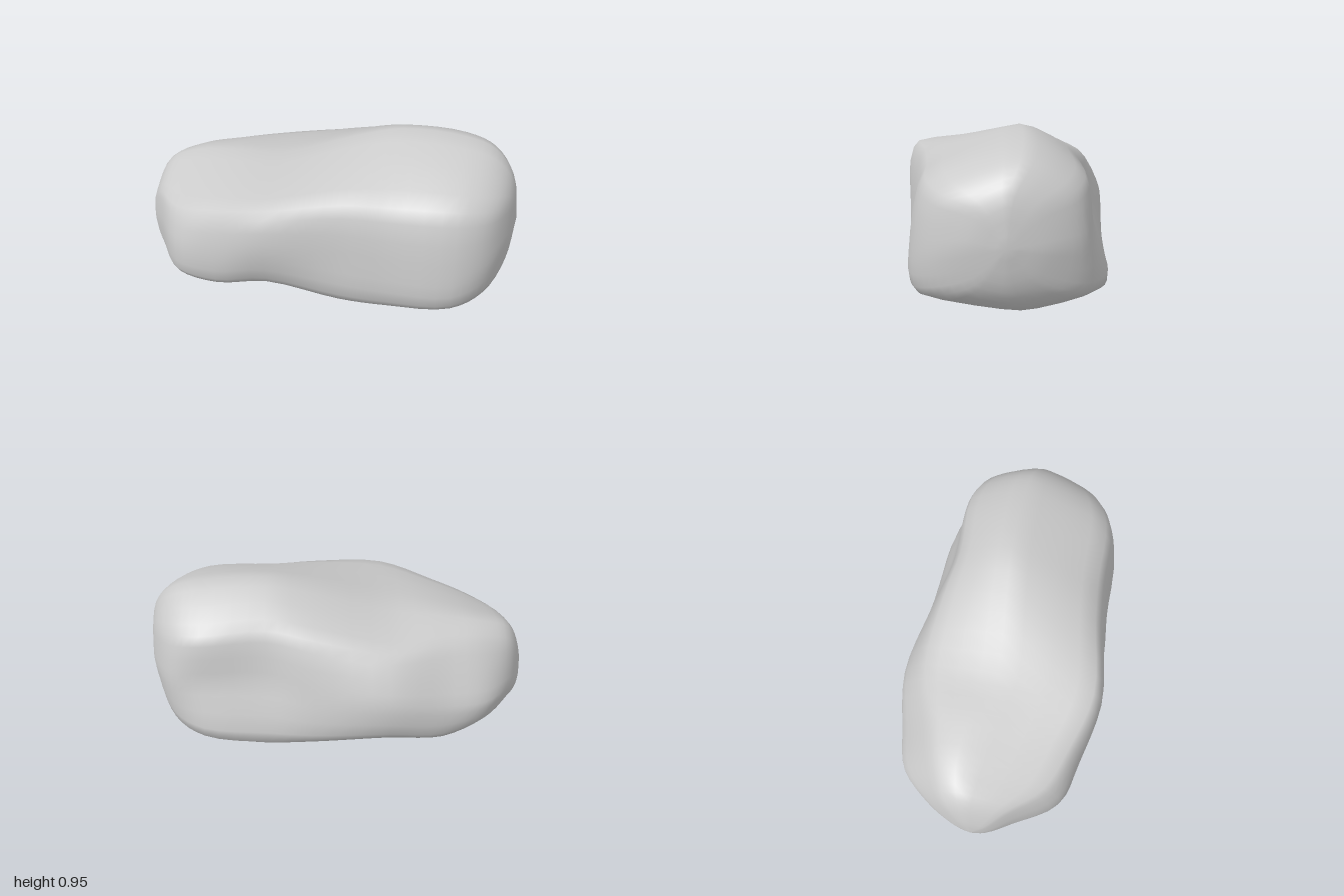
import * as THREE from 'three';

// Stations along the length, and the [y, z] of each lengthwise rail at them
const stations = [-0.975, -0.9, -0.75, -0.53, -0.25, 0.13, 0.37, 0.7, 0.86, 0.96];
const top = [[.48, -.03], [.64, -.06], [.70, -.08], [.735, -.06], [.77, -.02], [.89, -.05], [.945, -.07], [.93, -.07], [.88, -.05], [.76, 0]];
const frontShoulder = [[.44, .06], [.56, .15], [.59, .32], [.65, .41], [.725, .48], [.765, .42], [.76, .395], [.76, .38], [.73, .3], [.68, .14]];
const frontBelly = [[.34, .08], [.4, .2], [.41, .41], [.43, .48], [.51, .535], [.47, .495], [.43, .475], [.42, .46], [.46, .37], [.51, .2]];
const frontLower = [[.25, .06], [.22, .18], [.22, .39], [.21, .44], [.27, .46], [.22, .475], [.19, .45], [.2, .43], [.25, .33], [.34, .15]];
const keel = [[.225, 0], [.19, 0], [.18, 0], [.125, -.02], [.125, 0], [.045, -.07], [0, -.11], [.115, -.08], [.175, -.05], [.3, 0]];
const backLower = [[.25, -.08], [.24, -.19], [.24, -.37], [.2, -.46], [.23, -.5], [.21, -.5], [.21, -.5], [.23, -.465], [.26, -.34], [.36, -.14]];
const backBelly = [[.33, -.11], [.38, -.26], [.39, -.42], [.41, -.48], [.46, -.535], [.47, -.48], [.52, -.42], [.52, -.405], [.5, -.36], [.51, -.2]];
const backShoulder = [[.44, -.08], [.58, -.18], [.64, -.25], [.67, -.31], [.68, -.4], [.75, -.38], [.79, -.345], [.77, -.36], [.74, -.29], [.68, -.13]];

const leftTip = new THREE.Vector3(-1, 0.33, -0.01);
const rightTip = new THREE.Vector3(1, 0.52, 0.01);

function boulderGeometry(steps, sides) {
  // Smooth curve along each rail, from tip to tip
  const rails = [top, frontShoulder, frontBelly, frontLower, keel, backLower, backBelly, backShoulder]
    .map(rail => new THREE.CatmullRomCurve3([
      leftTip,
      ...rail.map(([y, z], i) => new THREE.Vector3(stations[i], y, z)),
      rightTip,
    ]));

  // Closed cross-sections through the rails, kept taut so the keel and shoulders stay angular
  const points = [leftTip];
  for (let i = 1; i < steps; i++) {
    const ring = new THREE.CatmullRomCurve3(rails.map(r => r.getPoint(i / steps)), true, 'catmullrom', 0.3);
    for (let j = 0; j < sides; j++) points.push(ring.getPoint(j / sides));
  }
  points.push(rightTip);

  // Skin between the sections, with a fan at each tip
  const at = (i, j) => 1 + i * sides + (j % sides);
  const last = points.length - 1;
  const index = [];
  for (let j = 0; j < sides; j++) {
    index.push(0, at(0, j + 1), at(0, j));
    for (let i = 0; i < steps - 2; i++) {
      const a = at(i, j), b = at(i, j + 1), c = at(i + 1, j), d = at(i + 1, j + 1);
      index.push(a, b, c, b, d, c);
    }
    index.push(at(steps - 2, j), at(steps - 2, j + 1), last);
  }

  const geometry = new THREE.BufferGeometry().setFromPoints(points);
  geometry.setIndex(index);
  geometry.computeBoundingBox();
  geometry.translate(0, -geometry.boundingBox.min.y, 0);
  geometry.computeVertexNormals();
  return geometry;
}

export function createModel() {
  const group = new THREE.Group();
  group.name = 'rock';
  const boulder = new THREE.Mesh(
    boulderGeometry(44, 32),
    new THREE.MeshStandardMaterial({ color: 0xcccccc }),
  );
  boulder.name = 'boulder';
  group.add(boulder);
  return group;
}
